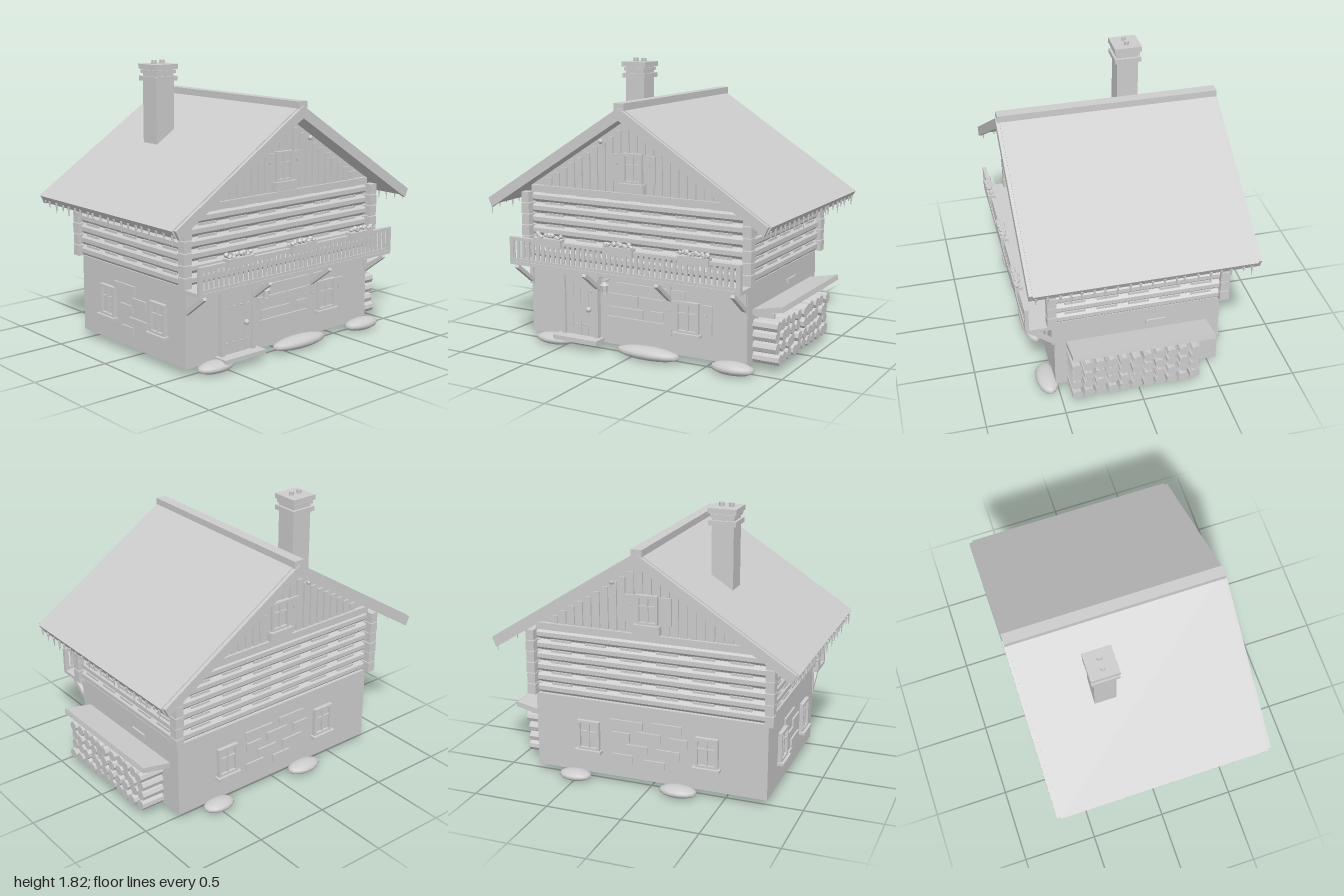
import * as THREE from 'three';

export function createModel() {
  const model = new THREE.Group();
  const grey = new THREE.MeshStandardMaterial({ color: 0xcccccc, flatShading: true });
  grey.name = 'clay grey';
  const smooth = new THREE.MeshStandardMaterial({ color: 0xcccccc });
  smooth.name = 'smooth clay grey';

  let seed = 7;
  const rand = () => (seed = (seed * 16807) % 2147483647) / 2147483647;
  const group = (name, parent = model) => {
    const g = new THREE.Group();
    g.name = name;
    parent.add(g);
    return g;
  };
  const mesh = (name, geo, x, y, z, parent = model, mat = grey) => {
    const m = new THREE.Mesh(geo, mat);
    m.name = name;
    m.position.set(x, y, z);
    parent.add(m);
    return m;
  };
  const box = (name, w, h, d, x, y, z, parent) =>
    mesh(name, new THREE.BoxGeometry(w, h, d), x, y, z, parent);
  // prism from an XY outline, running from z0 to z1
  const prism = (name, pts, z0, z1, parent) => {
    const s = new THREE.Shape(pts.map(([x, y]) => new THREE.Vector2(x, y)));
    return mesh(name, new THREE.ExtrudeGeometry(s, { depth: z1 - z0, bevelEnabled: false }), 0, 0, z0, parent);
  };
  const FRONT = 0.52, BACK = -0.545, MID = (FRONT + BACK) / 2;

  // Ground floor
  box('stoneBase', 1.56, 0.5, FRONT - BACK, 0, 0.3, MID);

  // Log storey
  const logs = group('logStorey');
  box('logCore', 1.53, 0.45, 1.01, 0, 0.775, MID, logs);
  const rows = 6, pitch = 0.073;
  for (let i = 0; i < rows; i++) {
    const y = 0.587 + i * pitch;
    for (const s of [-1, 1]) {
      const a = mesh('gableLog', new THREE.CylinderGeometry(0.036, 0.036, 1.54, 8), 0, y, MID + s * 0.5, logs);
      a.rotation.set(Math.PI / 8, 0, Math.PI / 2);
      const b = mesh('sideLog', new THREE.CylinderGeometry(0.036, 0.036, 1.04, 8), s * 0.765, y, MID, logs);
      b.rotation.set(Math.PI / 2, Math.PI / 8, 0);
      for (const t of [-1, 1]) {
        const k = i % 2 ? 0.003 : 0;
        box('cornerLogEnd', 0.058 - k, 0.068, 0.06 - k, s * 0.793, y, MID + t * 0.548, logs);
      }
      // short chinking strips
      for (let j = 0; j < 6; j++) {
        box('chinking', 0.14, 0.014, 0.01, -0.6 + j * 0.24, y + pitch / 2, MID + s * 0.523, logs);
        if (j < 5) box('chinking', 0.01, 0.014, 0.13, s * 0.788, y + pitch / 2, MID - 0.4 + j * 0.2, logs);
      }
    }
  }

  // Windows and shutters, built facing +z
  const makeWindow = (parent, w, h, shutters) => {
    const g = group('window', parent), t = 0.018;
    box('glass', w, h, 0.008, 0, 0, 0.004, g);
    for (const s of [-1, 1]) {
      box('frameSide', t, h, 0.026, s * (w - t) / 2, 0, 0.013, g);
      box('frameRail', w, t, 0.026, 0, s * (h - t) / 2, 0.013, g);
      if (shutters) {
        box('shutter', 0.082, h * 0.92, 0.012, s * (w / 2 + 0.044), 0, 0.006, g);
        const knob = mesh('shutterCutout', new THREE.CylinderGeometry(0.009, 0.009, 0.006, 3), s * (w / 2 + 0.045), h * 0.15, 0.014, g);
        knob.rotation.x = Math.PI / 2;
      }
    }
    box('mullion', 0.012, h, 0.018, 0, 0, 0.01, g);
    box('crossbar', w, 0.01, 0.018, 0, h * 0.12, 0.01, g);
    box('sill', w + 0.03, 0.018, 0.045, 0, -h / 2 - 0.005, 0.022, g);
    return g;
  };
  const place = (g, x, y, z, turn = 0) => {
    g.position.set(x, y, z);
    g.rotation.y = turn;
  };
  place(makeWindow(model, 0.16, 0.2, true), 0.385, 0.3, FRONT);
  for (const x of [0.41, -0.39]) place(makeWindow(model, 0.15, 0.2, false), x, 0.31, BACK, Math.PI);
  for (const z of [-0.25, 0.27]) place(makeWindow(model, 0.15, 0.2, false), -0.78, 0.31, z, -Math.PI / 2);

  // Exposed wall stones: [across, up, width, height]
  const wallStones = (list, x, z, turn) => {
    const g = group('wallStones');
    place(g, x, 0, z, turn);
    for (const [u, y, w, h] of list) box('wallStone', w, h, 0.016, u, y, 0.004, g);
  };
  wallStones([[0.12, 0.43, 0.49, 0.06], [-0.09, 0.35, 0.24, 0.07], [0.14, 0.35, 0.2, 0.07],
    [-0.06, 0.27, 0.25, 0.06], [0.17, 0.28, 0.09, 0.05], [0.04, 0.2, 0.46, 0.07]], 0, FRONT, 0);
  wallStones([[-0.15, 0.42, 0.22, 0.05], [0.12, 0.43, 0.2, 0.05], [-0.19, 0.33, 0.12, 0.06], [0, 0.35, 0.16, 0.06],
    [0.2, 0.34, 0.12, 0.06], [-0.08, 0.26, 0.15, 0.05], [0.13, 0.25, 0.16, 0.06], [-0.18, 0.18, 0.14, 0.06],
    [0.04, 0.17, 0.14, 0.05]], 0, BACK, Math.PI);
  wallStones([[-0.08, 0.43, 0.22, 0.05], [0.07, 0.35, 0.14, 0.06], [-0.06, 0.3, 0.13, 0.05],
    [0.06, 0.22, 0.18, 0.06], [-0.05, 0.16, 0.12, 0.05]], -0.78, 0, -Math.PI / 2);
  wallStones([[0.13, 0.445, 0.13, 0.03]], 0.78, 0, Math.PI / 2);

  // Gables with planks and window
  prism('atticWall', [[-0.77, 0.96], [0.77, 0.96], [0.77, 1.04], [0, 1.53], [-0.77, 1.04]], MID - 0.515, MID + 0.515);
  for (const s of [1, -1]) {
    const g = group('gable');
    place(g, 0, 0, MID + s * 0.515, s > 0 ? 0 : Math.PI);
    box('gableBeam', 1.53, 0.045, 0.035, 0, 1.01, 0.01, g);
    for (let i = -12; i <= 12; i++) {
      const x = i * 0.058, top = 1.52 - Math.abs(x) * 0.636 - 0.03;
      if (top > 1.05) box('plank', 0.044, top - 1.03, 0.014, x, (top + 1.03) / 2, 0.005, g);
    }
    place(makeWindow(g, 0.14, 0.19, true), 0, 1.19, 0.012);
    box('windowBox', 0.175, 0.05, 0.04, 0, 1.065, 0.03, g);
    for (const t of [-1, 1]) mesh('purlinKnob', new THREE.SphereGeometry(0.016, 10, 8), t * 0.235, 1.345, 0.02, g, smooth);
  }

  // Roof
  const roof = group('roof');
  const chevron = (top, drop, e) => [[0, top], [e, top - 0.636 * e], [e - 0.027, top - 0.636 * e - drop * 0.75],
    [0, top - drop], [-e + 0.027, top - 0.636 * e - drop * 0.75], [-e, top - 0.636 * e]];
  prism('roofSlab', chevron(1.585, 0.06, 0.998), -0.695, 0.675, roof);
  for (const [a, b] of [[0.675, 0.697], [-0.72, -0.695]]) prism('bargeBoard', chevron(1.578, 0.075, 0.985), a, b, roof);
  box('ridgeCap', 0.07, 0.045, 1.405, 0, 1.583, -0.012, roof);
  for (const s of [-1, 1]) {
    for (let i = 0; i < 20; i++) {
      const len = 0.03 + rand() * 0.06;
      const c = mesh('icicle', new THREE.ConeGeometry(0.009, len, 6), s * 0.982, 0.925 - len / 2,
        -0.67 + i * 0.07 + rand() * 0.03 - 0.015, roof);
      c.rotation.x = Math.PI;
    }
  }

  // Chimney
  const chimney = group('chimney');
  chimney.position.set(-0.39, 0, -0.225);
  box('stack', 0.14, 0.55, 0.14, 0, 1.495, 0, chimney);
  box('lowerBand', 0.175, 0.03, 0.175, 0, 1.705, 0, chimney);
  box('upperBand', 0.16, 0.02, 0.16, 0, 1.748, 0, chimney);
  box('cap', 0.18, 0.032, 0.18, 0, 1.78, 0, chimney);
  for (const s of [-1, 1]) mesh('pot', new THREE.CylinderGeometry(0.016, 0.016, 0.03, 12), s * 0.032, 1.805, 0, chimney, smooth);

  // Balcony
  const balcony = group('balcony');
  box('floor', 1.64, 0.022, 0.2, 0, 0.545, 0.6, balcony);
  box('bottomRail', 1.64, 0.018, 0.02, 0, 0.567, 0.69, balcony);
  box('topRail', 1.64, 0.02, 0.026, 0, 0.705, 0.69, balcony);
  for (let i = 0; i <= 42; i++) box('picket', 0.022, 0.135, 0.01, -0.798 + i * 0.038, 0.635, 0.69, balcony);
  for (const s of [-1, 1]) box('endPost', 0.026, 0.16, 0.024, s * 0.807, 0.63, 0.69, balcony);
  for (const x of [-0.775, -0.26, 0.255, 0.765]) {
    const b = box('bracket', 0.026, 0.21, 0.025, x, 0.46, 0.607, balcony);
    b.rotation.x = 0.92;
    box('wallPost', 0.026, 0.15, 0.016, x, 0.45, 0.527, balcony);
  }
  for (const x of [-0.517, 0, 0.517]) {
    box('flowerBox', 0.205, 0.05, 0.05, x, 0.708, 0.697, balcony);
    for (let i = 0; i < 10; i++)
      mesh('flower', new THREE.IcosahedronGeometry(0.014 + rand() * 0.006, 0), x - 0.09 + i * 0.02, 0.738 + rand() * 0.018,
        0.685 + rand() * 0.025, balcony);
  }

  // Door
  const door = group('door');
  door.position.set(-0.39, 0, FRONT);
  box('doorLeaf', 0.23, 0.4, 0.02, 0, 0.27, 0.01, door);
  for (const s of [-1, 1]) box('jamb', 0.03, 0.41, 0.036, s * 0.125, 0.275, 0.018, door);
  box('lintel', 0.325, 0.036, 0.06, 0, 0.492, 0.03, door);
  box('step', 0.33, 0.03, 0.1, 0, 0.065, 0.05, door);
  for (const x of [-0.057, 0, 0.057]) box('plankSeam', 0.005, 0.39, 0.004, x, 0.27, 0.021, door);
  for (const y of [0.15, 0.38])
    for (let i = 0; i < 4; i++) mesh('rivet', new THREE.SphereGeometry(0.006, 6, 4), -0.086 + i * 0.057, y, 0.022, door);
  mesh('knob', new THREE.SphereGeometry(0.018, 12, 8), 0.067, 0.26, 0.03, door, smooth);

  // Lantern
  const lantern = group('lantern');
  lantern.position.set(-0.185, 0, FRONT);
  box('arm', 0.012, 0.012, 0.06, 0, 0.47, 0.03, lantern);
  mesh('lampBody', new THREE.CylinderGeometry(0.022, 0.018, 0.05, 6), 0, 0.42, 0.055, lantern);
  mesh('lampCap', new THREE.ConeGeometry(0.032, 0.025, 6), 0, 0.457, 0.055, lantern);
  mesh('lampBase', new THREE.CylinderGeometry(0.024, 0.024, 0.008, 6), 0, 0.393, 0.055, lantern);

  // Woodpile and its lean-to
  const pile = group('woodpile');
  for (let r = 0; r < 4; r++) {
    for (let i = 0; i < 11; i++) {
      const len = 0.15 + rand() * 0.025;
      const l = mesh('firewood', new THREE.CylinderGeometry(0.035, 0.035, len, 8), 0.78 + len / 2,
        0.085 + r * 0.068, 0.412 - i * 0.0765, pile);
      l.rotation.set(rand(), 0, Math.PI / 2);
    }
  }
  const lean = box('woodpileRoof', 0.215, 0.034, 0.905, 0.872, 0.388, -0.008, pile);
  lean.rotation.z = 0.2;
  for (const z of [0.4, 0, -0.39]) box('roofSupport', 0.13, 0.03, 0.025, 0.84, 0.35, z, pile);

  // Ground rocks: [x, z, half width, half height]
  for (const [x, z, rx, ry] of [[-0.58, 0.56, 0.137, 0.036], [0.12, 0.56, 0.228, 0.042], [0.705, 0.56, 0.145, 0.04],
    [-0.21, -0.585, 0.125, 0.036], [0.5, -0.585, 0.11, 0.034]]) {
    const rock = mesh('rock', new THREE.SphereGeometry(1, 14, 8), x, ry, z, model, smooth);
    rock.scale.set(rx, ry, 0.072);
  }
  return model;
}
